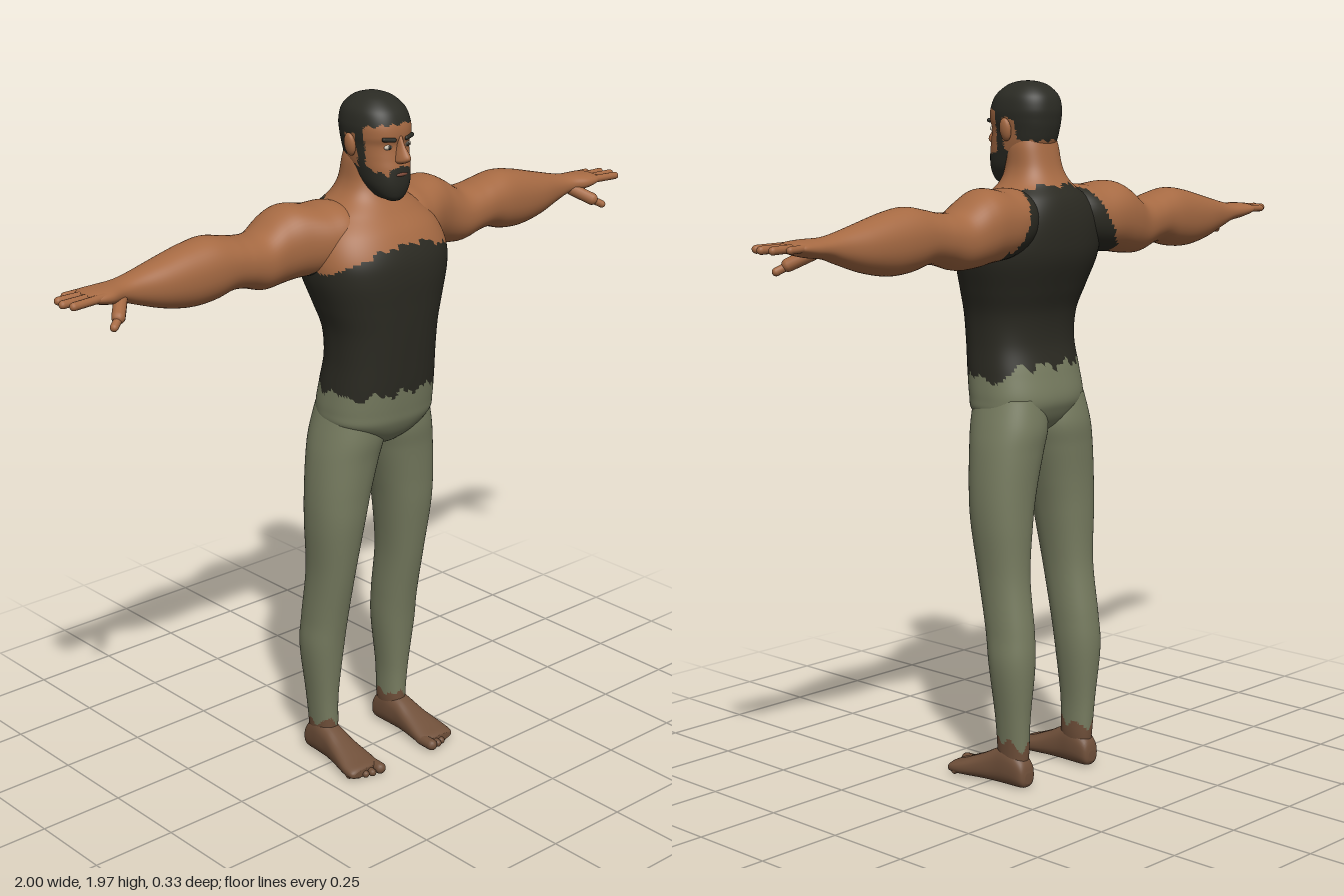
import * as THREE from 'three';

const colour = (name, hex) => {
  const m = new THREE.MeshStandardMaterial({ color: hex });
  m.name = name;
  return m;
};

export function createModel() {
  const model = new THREE.Group();
  const skin = colour('skin', 0xa66a43);
  const shirt = colour('shirt', 0x2b2a22);
  const trousers = colour('trousers', 0x777c60);
  const feet = colour('feet', 0x70503a);
  const hair = colour('hair', 0x2b2b24);
  const eyeWhite = colour('eye white', 0xc9bfae);
  const lips = colour('lips', 0x7d4a38);

  const add = (name, geometry, material) => {
    const mesh = new THREE.Mesh(geometry, material);
    mesh.name = name;
    model.add(mesh);
    return mesh;
  };

  // Smooth closed loft. Each ring is [t, a0, a1, b0, b1]; place() maps (t, a, b) to a point,
  // pick() returns the material of a face from its centre.
  function loft(name, rings, place, pick, { power = 2.2, sides = 48, steps = 6 } = {}) {
    const pos = [], faces = [], count = (rings.length - 1) * steps + 1;
    const spline = (i, k, u) => {
      const r = (j) => rings[Math.max(0, Math.min(rings.length - 1, j))][k];
      const d0 = (r(i + 1) - r(i - 1)) / 2, d1 = (r(i + 2) - r(i)) / 2, a = r(i), b = r(i + 1);
      return a + d0 * u + (3 * (b - a) - 2 * d0 - d1) * u * u + (2 * (a - b) + d0 + d1) * u * u * u;
    };
    const bend = (v) => Math.sign(v) * Math.abs(v) ** (2 / power);
    const ends = [];
    for (let s = 0; s < count; s++) {
      const i = Math.min(rings.length - 2, Math.floor(s / steps)), u = s / steps - i;
      const [t, a0, a1, b0, b1] = [0, 1, 2, 3, 4].map((k) => spline(i, k, u));
      for (let j = 0; j < sides; j++) {
        const w = (j / sides) * Math.PI * 2;
        pos.push(...place(t, (a0 + a1) / 2 + (a1 - a0) / 2 * bend(Math.cos(w)),
          (b0 + b1) / 2 + (b1 - b0) / 2 * bend(Math.sin(w))));
      }
      if (s === 0 || s === count - 1) ends.push(place(t, (a0 + a1) / 2, (b0 + b1) / 2));
    }
    const first = pos.length / 3;
    pos.push(...ends[0], ...ends[1]);
    for (let j = 0; j < sides; j++) {
      const k = (j + 1) % sides, top = (count - 1) * sides;
      faces.push([first, k, j], [first + 1, top + j, top + k]);
      for (let s = 0; s < count - 1; s++) {
        const p = s * sides, q = p + sides;
        faces.push([p + j, p + k, q + k], [p + j, q + k, q + j]);
      }
    }
    // Turn the faces outward
    const point = (i) => new THREE.Vector3().fromArray(pos, i * 3);
    let volume = 0;
    for (const f of faces) volume += point(f[0]).dot(point(f[1]).cross(point(f[2])));
    const buckets = new Map();
    for (const f of faces) {
      if (volume < 0) f.reverse();
      const c = point(f[0]).add(point(f[1])).add(point(f[2])).divideScalar(3);
      const m = pick(c);
      if (!buckets.has(m)) buckets.set(m, []);
      buckets.get(m).push(...f);
    }
    const geometry = new THREE.BufferGeometry();
    geometry.setAttribute('position', new THREE.Float32BufferAttribute(pos, 3));
    geometry.setIndex([...buckets.values()].flat());
    let start = 0, n = 0;
    for (const list of buckets.values()) {
      geometry.addGroup(start, list.length, n++);
      start += list.length;
    }
    geometry.computeVertexNormals();
    return add(name, geometry, [...buckets.keys()]);
  }

  const capsule = (name, a, b, r, material) => {
    const p = new THREE.Vector3(...a), q = new THREE.Vector3(...b), d = q.clone().sub(p);
    const mesh = add(name, new THREE.CapsuleGeometry(r, d.length(), 5, 12), material);
    mesh.position.copy(p).add(q).multiplyScalar(0.5);
    mesh.quaternion.setFromUnitVectors(new THREE.Vector3(0, 1, 0), d.normalize());
  };
  const blob = (name, at, scale, material) => {
    const mesh = add(name, new THREE.SphereGeometry(1, 20, 14), material);
    mesh.position.set(...at);
    mesh.scale.set(...scale);
    return mesh;
  };

  // Ragged cloth edges
  const ragged = (p) => 0.009 * Math.sin(p.x * 75 + p.z * 20) + 0.007 * Math.sin(p.x * 170 - p.z * 90);
  const clothing = (p) => {
    const x = Math.abs(p.x), back = THREE.MathUtils.smoothstep(-p.z, 0.02, 0.09);
    if (p.y < 1.155 + 0.035 * back + ragged(p)) return trousers;
    const frontTop = 1.575 - 0.06 * (x / 0.21) ** 2;
    const backTop = 1.685 - 0.17 * THREE.MathUtils.smoothstep(x, 0.1, 0.22);
    const top = frontTop + (backTop - frontTop) * back + 0.6 * ragged(p);
    return x < 0.225 && p.y < top ? shirt : skin;
  };

  // Torso and neck
  const torso = [
    [0.99, 0.05, -0.05, 0.07], [1.02, 0.11, -0.09, 0.105], [1.06, 0.165, -0.115, 0.128],
    [1.1, 0.172, -0.125, 0.136], [1.17, 0.168, -0.112, 0.145], [1.25, 0.163, -0.095, 0.152],
    [1.33, 0.168, -0.1, 0.158], [1.4, 0.188, -0.125, 0.162], [1.48, 0.212, -0.155, 0.165],
    [1.54, 0.215, -0.163, 0.157], [1.6, 0.195, -0.16, 0.13], [1.65, 0.15, -0.145, 0.09],
    [1.69, 0.1, -0.115, 0.062], [1.73, 0.078, -0.095, 0.05], [1.79, 0.072, -0.08, 0.045],
    [1.83, 0.06, -0.07, 0.04],
  ].map(([y, w, b, f]) => [y, -w, w, b, f]);
  loft('torso', torso, (y, x, z) => [x, y, z], clothing, { power: 2.4, sides: 96, steps: 8 });

  // Head with hair and beard
  const headColour = (p) => {
    const x = Math.abs(p.x), r = 0.004 * Math.sin(p.x * 160 + p.z * 110);
    if (p.y > 1.893 + r - 0.2 * Math.max(0, x - 0.05) && p.z > 0.04) return hair;
    if (p.z <= 0.04 && p.y > (p.z < -0.025 ? 1.805 : 1.865) + r) return hair;
    if (p.z > 0.022 && p.z < 0.05 && x > 0.05) return hair;
    if (p.z > 0.0 && p.y < 1.752 + 5 * x * x + r) return hair;
    return x < 0.036 && p.z > 0.05 && p.y < 1.782 - 0.25 * x ? hair : skin;
  };
  const head = [
    [1.685, 0.018, 0.07, 0.1], [1.7, 0.042, 0.02, 0.11], [1.73, 0.06, -0.02, 0.117],
    [1.77, 0.07, -0.06, 0.116], [1.8, 0.075, -0.08, 0.11], [1.835, 0.079, -0.09, 0.105],
    [1.86, 0.083, -0.094, 0.111], [1.89, 0.084, -0.096, 0.108], [1.925, 0.075, -0.087, 0.092],
    [1.952, 0.05, -0.06, 0.06], [1.963, 0.025, -0.03, 0.03], [1.966, 0.005, -0.005, 0.005],
  ].map(([y, w, b, f]) => [y, -w, w, b, f]);
  loft('head', head, (y, x, z) => [x, y, z], headColour, { power: 2.3, sides: 72, steps: 8 });
  loft('nose', [[1.787, -0.009, 0.009, 0.08, 0.115], [1.795, -0.018, 0.018, 0.08, 0.137],
    [1.808, -0.016, 0.016, 0.08, 0.145], [1.835, -0.009, 0.009, 0.08, 0.126],
    [1.862, -0.008, 0.008, 0.08, 0.112]], (y, x, z) => [x, y, z], () => skin, { sides: 20 });
  blob('mouth', [0, 1.759, 0.115], [0.02, 0.005, 0.005], lips);

  for (const s of [1, -1]) {
    const side = s > 0 ? 'left ' : 'right ';

    // Face details
    blob(side + 'ear', [s * 0.086, 1.835, 0.004], [0.012, 0.032, 0.019], skin).rotation.z = -s * 0.15;
    blob(side + 'eye', [s * 0.034, 1.834, 0.098], [0.014, 0.007, 0.006], eyeWhite);
    blob(side + 'iris', [s * 0.033, 1.834, 0.102], [0.006, 0.006, 0.004], hair);
    const brow = add(side + 'brow', new THREE.CapsuleGeometry(0.006, 0.03, 4, 10), hair);
    brow.position.set(s * 0.036, 1.855, 0.104);
    brow.rotation.set(0, s * 0.3, Math.PI / 2 + s * 0.12);

    // Arm and palm
    loft(side + 'arm', [
      [0.06, 1.54, 1.66, -0.11, 0.04], [0.12, 1.505, 1.68, -0.148, 0.07], [0.18, 1.49, 1.678, -0.163, 0.062],
      [0.25, 1.485, 1.686, -0.166, 0.035], [0.3, 1.478, 1.668, -0.162, 0.022], [0.36, 1.475, 1.632, -0.15, 0.02],
      [0.42, 1.492, 1.632, -0.142, 0.02], [0.47, 1.497, 1.642, -0.138, 0.02], [0.53, 1.482, 1.652, -0.137, 0.02],
      [0.6, 1.478, 1.642, -0.132, 0.014], [0.68, 1.492, 1.622, -0.122, 0.003], [0.76, 1.518, 1.602, -0.105, -0.014],
      [0.81, 1.536, 1.592, -0.1, -0.015], [0.86, 1.543, 1.59, -0.102, 0.002], [0.9, 1.553, 1.587, -0.102, 0.002],
      [0.92, 1.565, 1.58, -0.09, -0.01],
    ], (x, y, z) => [s * x, y, z], (p) => (clothing(p) === shirt ? shirt : skin));

    // Fingers and thumb
    for (const [z0, z1, tip, r] of [[-0.089, -0.091, 0.945, 0.01], [-0.063, -0.067, 0.98, 0.011],
      [-0.037, -0.034, 0.989, 0.011], [-0.011, -0.003, 0.978, 0.011]]) {
      capsule(side + 'finger', [s * 0.88, 1.572, z0], [s * tip, 1.57, z1], r, skin);
    }
    capsule(side + 'thumb base', [s * 0.82, 1.55, -0.03], [s * 0.86, 1.522, 0.015], 0.018, skin);
    capsule(side + 'thumb', [s * 0.85, 1.526, 0.01], [s * 0.886, 1.505, 0.032], 0.011, skin);

    // Leg
    loft(side + 'leg', [
      [0.05, 0.107, 0.165, -0.115, -0.02], [0.1, 0.1, 0.168, -0.12, -0.018], [0.2, 0.097, 0.178, -0.125, -0.015],
      [0.35, 0.08, 0.197, -0.136, 0], [0.45, 0.075, 0.195, -0.13, 0.015], [0.6, 0.07, 0.195, -0.111, 0.045],
      [0.75, 0.05, 0.207, -0.11, 0.07], [0.85, 0.03, 0.208, -0.112, 0.08], [0.95, 0.005, 0.2, -0.118, 0.09],
      [1.02, -0.01, 0.187, -0.122, 0.1], [1.1, 0, 0.165, -0.11, 0.1],
    ], (y, x, z) => [s * x, y, z],
    (p) => (p.y < 0.122 + 0.014 * Math.sin(p.x * 160) + 0.01 * Math.sin(p.z * 130) ? feet : trousers),
    { sides: 56, steps: 10 });

    // Foot and toes
    loft(side + 'foot', [
      [-0.13, 0.12, 0.15, 0.015, 0.045], [-0.118, 0.105, 0.165, 0.002, 0.08], [-0.07, 0.1, 0.172, 0, 0.115],
      [-0.02, 0.1, 0.176, 0, 0.1], [0.03, 0.095, 0.186, 0, 0.075], [0.09, 0.087, 0.2, 0, 0.05],
      [0.125, 0.09, 0.2, 0.002, 0.038], [0.135, 0.1, 0.19, 0.008, 0.03],
    ], (z, x, y) => [s * x, y, z], () => feet, { power: 2.5, sides: 32 });
    for (let i = 0; i < 5; i++) {
      const r = i ? 0.012 - i * 0.0006 : 0.017, x = 0.103 + (i ? 0.007 : 0) + i * 0.02;
      capsule(side + 'toe', [s * x, 0.02, 0.1], [s * x, r + 0.002, 0.145 - i * i * 0.0022], r, feet);
    }
  }
  return model;
}
